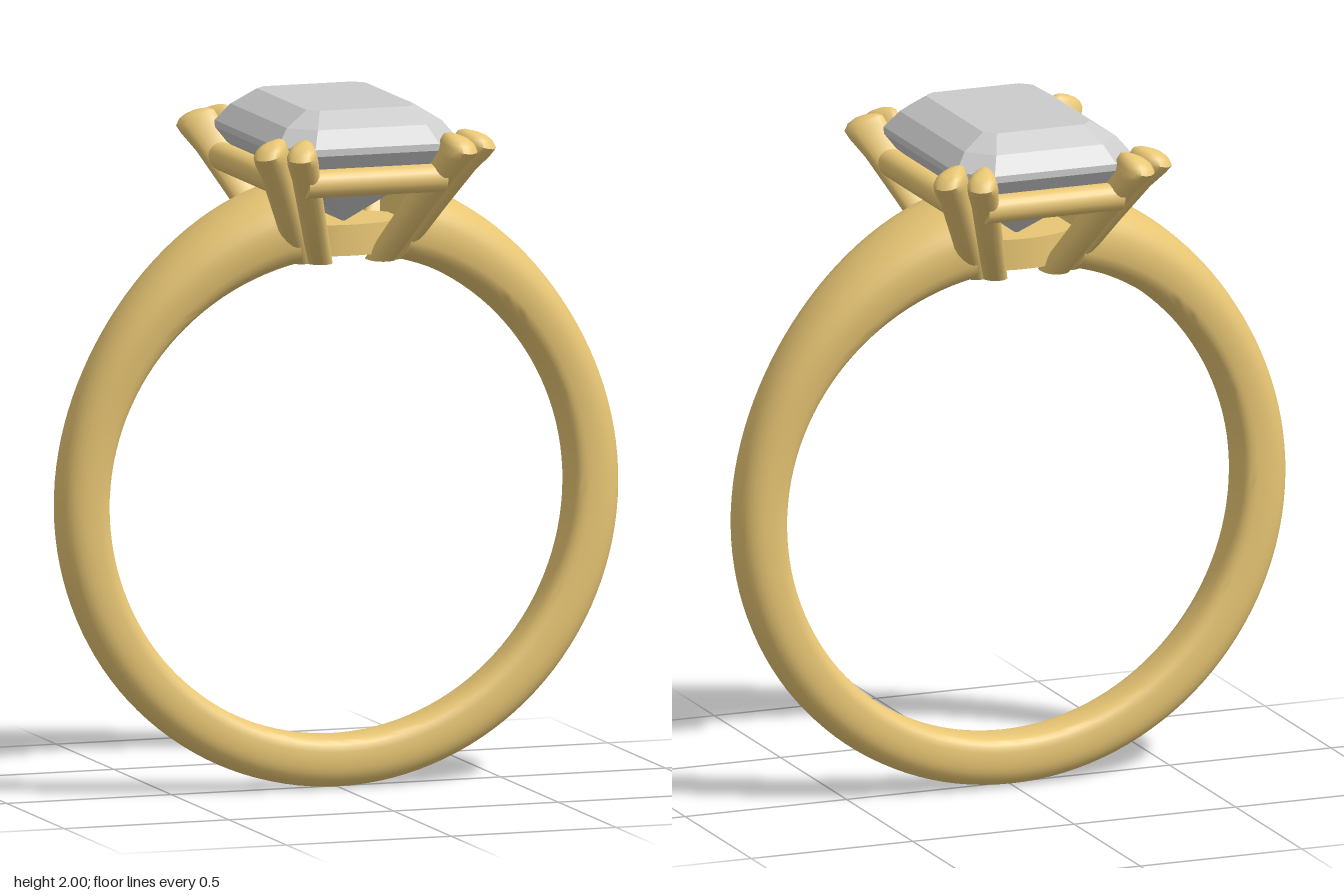
import * as THREE from 'three';
import { toCreasedNormals } from 'three/addons/utils/BufferGeometryUtils.js';

const gold = new THREE.MeshStandardMaterial({ color: 0xe8c674 });
const stoneMaterial = new THREE.MeshStandardMaterial({ color: 0xcccccc, flatShading: true });

// Skins a list of equal-length rings of [x, y, z] and caps both ends
function loft(rings, crease) {
  const n = rings[0].length, pos = [], index = [];
  rings.forEach(r => r.forEach(p => pos.push(...p)));
  for (let i = 0; i < rings.length - 1; i++) {
    for (let j = 0; j < n; j++) {
      const a = i * n + j, b = i * n + (j + 1) % n;
      index.push(a, a + n, b, b, a + n, b + n);
    }
  }
  [0, rings.length - 1].forEach((k, end) => {
    const c = pos.length / 3;
    pos.push(...[0, 1, 2].map(d => rings[k].reduce((s, p) => s + p[d], 0) / n));
    for (let j = 0; j < n; j++) {
      const a = k * n + j, b = k * n + (j + 1) % n;
      index.push(c, ...(end ? [b, a] : [a, b]));
    }
  });
  const g = new THREE.BufferGeometry();
  g.setAttribute('position', new THREE.Float32BufferAttribute(pos, 3));
  g.setIndex(index);
  return toCreasedNormals(g, crease);
}

const circle = (n, fn) => Array.from({ length: n }, (_, j) => fn(j / n * Math.PI * 2));
const power = (v, e) => Math.sign(v) * Math.abs(v) ** e;

// Band: open at the head, wider and thicker toward its ends
function shankGeometry() {
  const rings = [], steps = 120, gap = 0.22;
  for (let i = 0; i <= steps; i++) {
    const t = gap + (Math.PI * 2 - 2 * gap) * i / steps;
    const up = Math.max(0, Math.cos(t));
    const thick = 0.15 + 0.08 * up ** 4;
    const width = up > 0 ? 0.205 - 0.125 * Math.abs(Math.sin(t)) : 0.08 + 0.005 * Math.cos(t);
    rings.push(circle(32, a => {
      const c = Math.cos(a), e = c > 0 ? 0.85 : 0.6;
      const r = 0.70 + thick * (0.45 + (c > 0 ? 0.55 : 0.45) * power(c, e));
      return [r * Math.sin(t), 0.85 + r * Math.cos(t), -width * power(Math.sin(a), e)];
    }));
  }
  return loft(rings, 0.7);
}

// Claw: egg-shaped section leaning outward, with a rounded sloping head
function prongGeometry(foot, tip, angle, sx, sz) {
  const c = sx * Math.cos(angle), s = sz * Math.sin(angle);
  const levels = [[1.54, 0.8], [1.7, 0.86], [1.82, 0.9], [1.875, 1], [1.9, 0.97], [1.917, 0.82], [1.926, 0.55], [1.93, 0.2]];
  return loft(levels.map(([y, k]) => {
    const f = Math.min(1, (y - 1.54) / 0.36);
    const slope = 0.3 * f ** 4;
    const cx = sx * (foot[0] + (tip[0] - foot[0]) * f);
    const cz = sz * (foot[1] + (tip[1] - foot[1]) * f);
    return circle(20, a => {
      const u = 0.062 * k * Math.cos(a);
      const v = 0.042 * k * Math.sin(a) * (1 + 0.35 * Math.cos(a));
      return [cx + u * c - v * s, y - slope * u, cz + u * s + v * c];
    });
  }), 0.9);
}

// Step-cut stone: octagonal outlines stacked from keel to table
function stoneGeometry() {
  const levels = [ // half x, half z, corner cut, y
    [0.006, 0.07, 0.004, 1.65], [0.13, 0.205, 0.04, 1.75], [0.245, 0.33, 0.075, 1.845],
    [0.273, 0.36, 0.085, 1.885], [0.273, 0.36, 0.085, 1.905],
    [0.235, 0.315, 0.07, 1.955], [0.165, 0.245, 0.03, 2.0],
  ];
  return loft(levels.map(([x, z, c, y]) => [
    [x, y, -z + c], [x, y, z - c], [x - c, y, z], [-x + c, y, z],
    [-x, y, z - c], [-x, y, -z + c], [-x + c, y, -z], [x - c, y, -z],
  ]), 0.1);
}

export function createModel() {
  const model = new THREE.Group();
  const add = (name, geometry, material = gold) => {
    const mesh = new THREE.Mesh(geometry, material);
    mesh.name = name;
    model.add(mesh);
    return mesh;
  };

  add('band', shankGeometry());
  add('stone', stoneGeometry(), stoneMaterial);

  // Oval plate under the stone
  const base = add('settingBase', new THREE.CylinderGeometry(1, 1, 0.09, 48));
  base.scale.set(0.2, 1, 0.135);
  base.position.y = 1.602;

  // Four rails around the stone
  for (const s of [-1, 1]) {
    const endRail = add('endRail', new THREE.CylinderGeometry(0.041, 0.041, 0.42, 24));
    endRail.rotation.z = Math.PI / 2;
    endRail.position.set(0, 1.803, s * 0.334);
    const sideRail = add('sideRail', new THREE.CylinderGeometry(0.041, 0.041, 0.54, 24));
    sideRail.rotation.x = Math.PI / 2;
    sideRail.position.set(s * 0.26, 1.803, 0);
  }

  // A pair of claws at each corner
  for (const sx of [-1, 1]) {
    for (const sz of [-1, 1]) {
      add('endProng', prongGeometry([0.088, 0.122], [0.235, 0.385], 1.05, sx, sz));
      add('sideProng', prongGeometry([0.13, 0.095], [0.308, 0.328], 0.6, sx, sz));
    }
  }
  return model;
}
